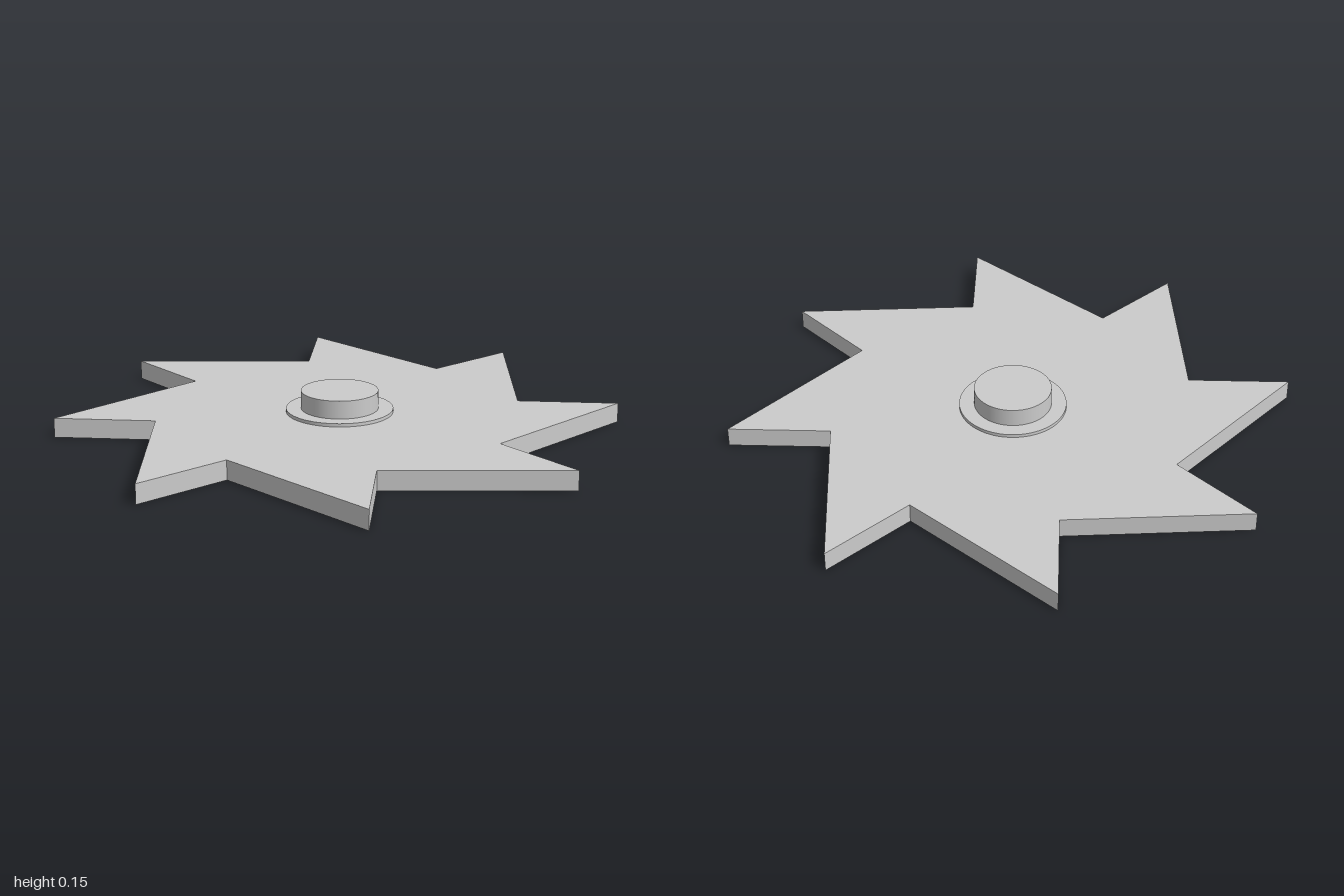
import * as THREE from 'three';

const TEETH = 8;
const THICKNESS = 0.07;

export function createModel() {
  const group = new THREE.Group();
  const material = new THREE.MeshStandardMaterial({ color: 0xcccccc });

  function add(name, geometry, y = 0) {
    const mesh = new THREE.Mesh(geometry, material);
    mesh.name = name;
    mesh.position.y = y;
    group.add(mesh);
  }

  // Blade: each tooth is a valley followed by a tip swept slightly clockwise
  const tipRadius = Math.hypot(1, 0.095);
  const tipSweep = Math.atan(0.095);
  const outline = [];
  for (let i = 0; i < TEETH; i++) {
    const a = (i / TEETH) * Math.PI * 2;
    const b = a + tipSweep;
    outline.push(new THREE.Vector2(Math.sin(a), Math.cos(a)).multiplyScalar(0.653));
    outline.push(new THREE.Vector2(Math.sin(b), Math.cos(b)).multiplyScalar(tipRadius));
  }
  const blade = new THREE.ExtrudeGeometry(new THREE.Shape(outline), {
    depth: THICKNESS,
    bevelEnabled: false,
  });
  blade.rotateX(-Math.PI / 2);
  add('sawBlade', blade);

  // Thin washer and hub cap stacked on the blade
  const disc = (radius, height) => new THREE.CylinderGeometry(radius, radius, height, 64);
  add('washer', disc(0.19, 0.012), THICKNESS + 0.006);
  add('hub', disc(0.137, 0.077), THICKNESS + 0.0385);

  return group;
}
